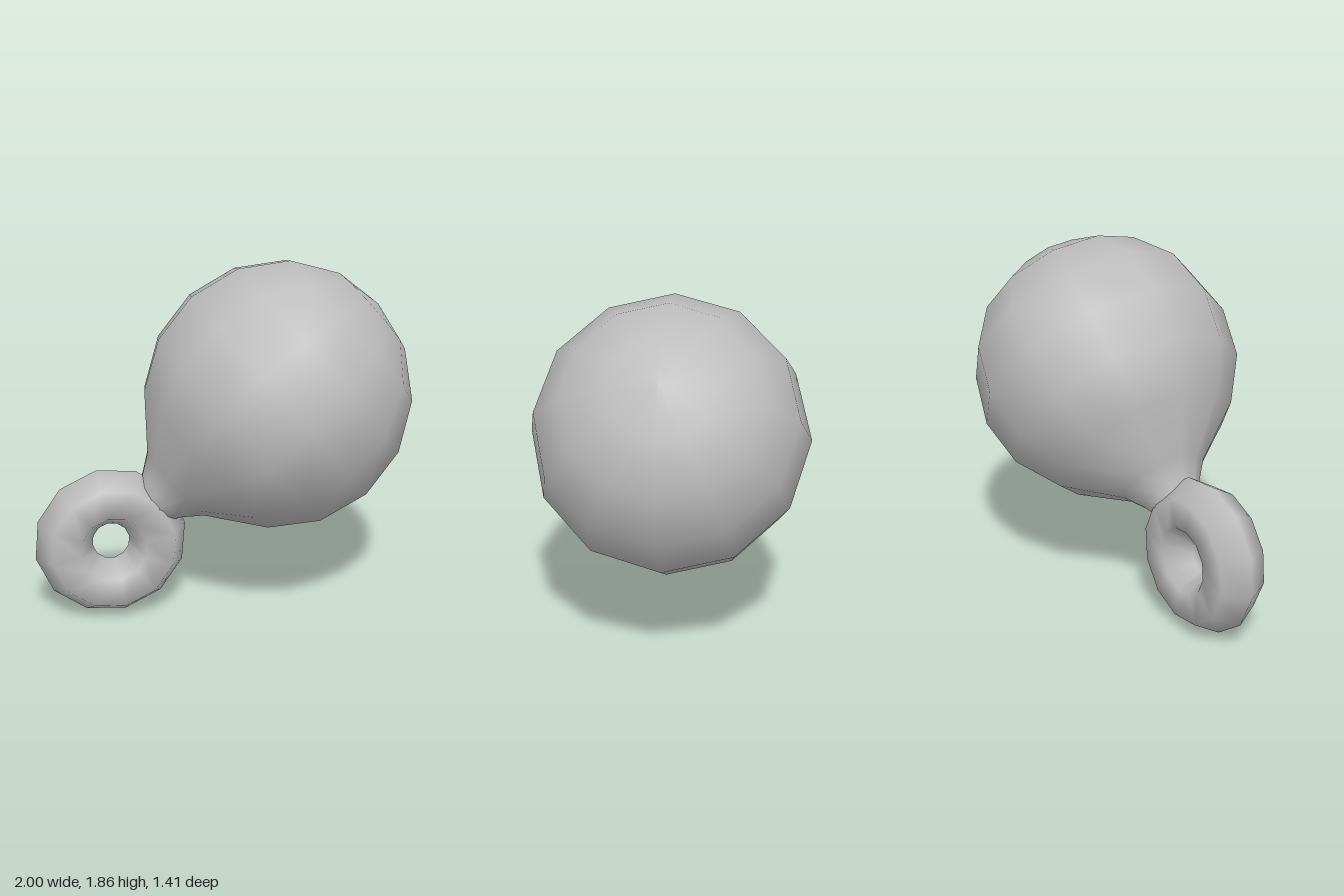
import * as THREE from 'three';

export function createModel() {
  const group = new THREE.Group();
  const grey = new THREE.MeshStandardMaterial({ color: 0xbcbcbc });
  grey.name = 'grey';

  // Ball drawn out into a short neck; the profile runs along the neck axis
  const radius = 0.706;
  const profile = [];
  for (let i = 0; i <= 6; i++) {
    const a = (i * Math.PI) / 8;
    profile.push(new THREE.Vector2(radius * Math.sin(a), -radius * Math.cos(a)));
  }
  profile.push(
    new THREE.Vector2(0.23, 0.712),
    new THREE.Vector2(0.16, 0.806),
    new THREE.Vector2(0.115, 0.89)
  );
  const ball = new THREE.Mesh(new THREE.LatheGeometry(profile, 12), grey);
  ball.name = 'ballWithNeck';
  ball.position.set(0.297, 1.158, 0);
  ball.rotation.z = THREE.MathUtils.degToRad(130);
  group.add(ball);

  // Six-sided ring that the neck runs into
  const ring = new THREE.Mesh(new THREE.TorusGeometry(0.2525, 0.1535, 6, 12), grey);
  ring.name = 'hangingRing';
  ring.position.set(-0.6, 0.402, 0);
  ring.rotation.z = THREE.MathUtils.degToRad(10);
  group.add(ring);

  return group;
}
